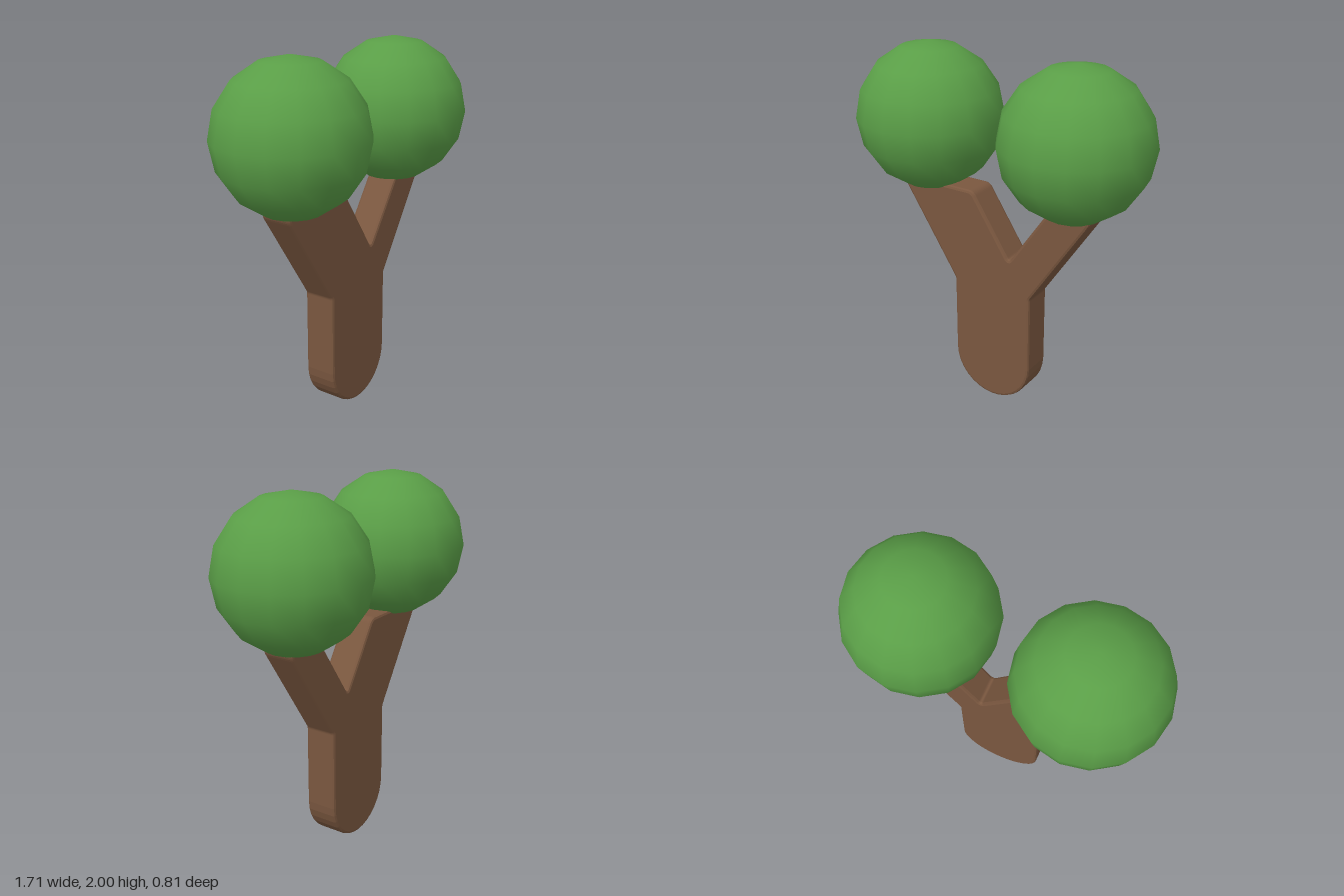
import * as THREE from 'three';

const bark = new THREE.MeshStandardMaterial({ color: 0x7a573f });
bark.name = 'bark brown';
const leaf = new THREE.MeshStandardMaterial({ color: 0x5a9e47 });
leaf.name = 'leaf green';

// Forked outline: corners are [x, y, rounding], anticlockwise from the lower right
function trunkShape() {
  const corners = [
    [0.245, 0.70, 0.01],
    [0.605, 1.25, 0.06],
    [0.355, 1.25, 0.03],
    [0.112, 0.895, 0.025],
    [-0.122, 1.25, 0.03],
    [-0.605, 1.25, 0.06],
    [-0.245, 0.70, 0.01],
  ].map(([x, y, r]) => ({ p: new THREE.Vector2(x, y), r }));
  const shape = new THREE.Shape();
  shape.moveTo(0.245, 0.25);
  corners.forEach(({ p, r }, i) => {
    const prev = i ? corners[i - 1].p : new THREE.Vector2(0.245, 0.25);
    const next = i < corners.length - 1 ? corners[i + 1].p : new THREE.Vector2(-0.245, 0.25);
    const a = prev.clone().sub(p).setLength(r).add(p);
    const b = next.clone().sub(p).setLength(r).add(p);
    shape.lineTo(a.x, a.y);
    shape.quadraticCurveTo(p.x, p.y, b.x, b.y);
  });
  shape.lineTo(-0.245, 0.25);
  shape.absarc(0, 0.25, 0.245, Math.PI, Math.PI * 2, false);
  return shape;
}

export function createModel() {
  const group = new THREE.Group();
  group.name = 'forkedTree';

  // Flat forked trunk with softly bevelled edges
  const bevel = 0.015;
  const trunkGeometry = new THREE.ExtrudeGeometry(trunkShape(), {
    depth: 0.18 - 2 * bevel,
    bevelEnabled: true,
    bevelThickness: bevel,
    bevelSize: bevel,
    bevelOffset: -bevel,
    bevelSegments: 2,
    curveSegments: 8,
  });
  trunkGeometry.translate(0, 0, bevel - 0.09);
  const trunk = new THREE.Mesh(trunkGeometry, bark);
  trunk.name = 'trunk';
  group.add(trunk);

  // One round crown on each branch
  const crownGeometry = new THREE.SphereGeometry(0.403, 16, 8);
  for (const side of [-1, 1]) {
    const crown = new THREE.Mesh(crownGeometry, leaf);
    crown.name = side > 0 ? 'leftCrown' : 'rightCrown';
    crown.position.set(side * 0.45, 1.6, 0);
    group.add(crown);
  }
  return group;
}
